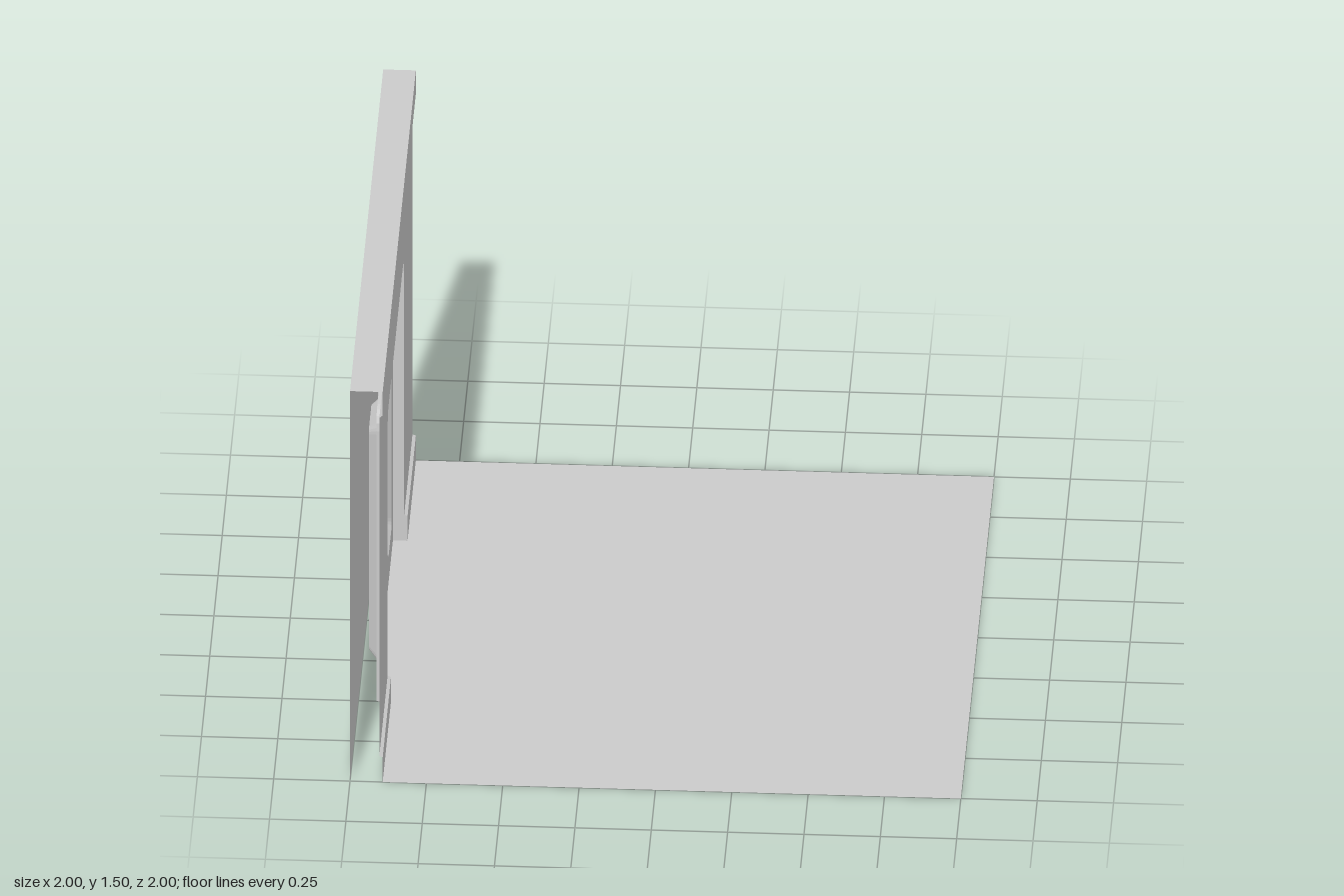
import * as THREE from 'three';

const material = new THREE.MeshStandardMaterial({ color: 0xcccccc, side: THREE.DoubleSide, flatShading: true });

// x of each layer of the wall, from back to front
const BACK = -1, PANEL = -0.971, DOOR = -0.941, WALL = -0.904, TRIM = -0.893;

const V = (x, y) => new THREE.Vector2(x, y);

// Replaces each corner [x, y, radius] with a short curve
function roundCorners(corners, steps = 4) {
  const n = corners.length, out = [];
  corners.forEach(([x, y, r], i) => {
    const p = V(x, y);
    if (!r) return out.push(p);
    const toward = ([a, b]) => V(a, b).sub(p).setLength(r).add(p);
    const start = toward(corners[(i + n - 1) % n]), end = toward(corners[(i + 1) % n]);
    out.push(...new THREE.QuadraticBezierCurve(start, p, end).getPoints(steps));
  });
  return out;
}

// Strip of quads between two rows of 3D points
function loft(rowA, rowB, closed = false) {
  const pos = [], n = rowA.length;
  for (let i = 0; i < (closed ? n : n - 1); i++) {
    const j = (i + 1) % n;
    for (const p of [rowA[i], rowA[j], rowB[j], rowA[i], rowB[j], rowB[i]]) pos.push(...p);
  }
  const g = new THREE.BufferGeometry();
  g.setAttribute('position', new THREE.Float32BufferAttribute(pos, 3));
  g.computeVertexNormals();
  return g;
}

// Flat sheet facing +x, drawn as (-z, y)
function sheet(points, x, holes = []) {
  const shape = new THREE.Shape(points);
  shape.holes = holes.map((h) => new THREE.Path(h));
  return new THREE.ShapeGeometry(shape).rotateY(Math.PI / 2).translate(x, 0, 0);
}

// Places an outline (-z, y) at depth x
const at = (points, x) => points.map((p) => [x, p.y, -p.x]);

// Runs a profile (x, y) along z
const run = (profile, z0, z1) =>
  loft(profile.map(([x, y]) => [x, y, z0]), profile.map(([x, y]) => [x, y, z1]));

export function createModel() {
  const group = new THREE.Group();
  const add = (name, geometry) => {
    const mesh = new THREE.Mesh(geometry, material);
    mesh.name = name;
    group.add(mesh);
  };

  // Floor, reaching into the doorway
  const floor = new THREE.Shape([
    V(TRIM, -1), V(1, -1), V(1, 1), V(TRIM, 1),
    V(TRIM, 0.5), V(DOOR, 0.5), V(DOOR, -0.5), V(TRIM, -0.5),
  ]);
  add('floor', new THREE.ShapeGeometry(floor).rotateX(-Math.PI / 2));

  // Outer face of the wall
  add('wallBack', new THREE.PlaneGeometry(2, 1.5).rotateY(-Math.PI / 2).translate(BACK, 0.75, 0));

  // Top cap and cornice
  add('cornice', run([[BACK, 1.5], [TRIM, 1.5], [TRIM, 1.41], [WALL, 1.4]], 1, -1));

  // Inner face of the wall around the doorway
  const arch = roundCorners([[0.5, 0, 0], [0.5, 1.103, 0.065], [-0.5, 1.103, 0.065], [-0.5, 0, 0]]);
  add('wallFront', sheet([
    V(1, 0.1), V(1, 1.4), V(-1, 1.4), V(-1, 0.1), V(-0.5, 0.1),
    ...arch.slice(1, -1).reverse(), V(0.5, 0.1),
  ], WALL));

  // Baseboards on both sides of the doorway, with end caps
  const board = [[WALL, 0.1], [TRIM, 0.095], [TRIM, 0]];
  const endCap = new THREE.Shape([V(WALL, 0), ...board.map(([x, y]) => V(x, y)).reverse()]);
  for (const [name, z0, z1, end] of [['Left', 1, 0.5, 0.5], ['Right', -0.5, -1, -0.5]]) {
    add('baseboard' + name, run(board, z0, z1));
    const cap = new THREE.ShapeGeometry(endCap);
    if (end > 0) cap.scale(1, 1, -1);
    add('baseboardEnd' + name, cap.translate(0, 0, end));
  }

  // Doorway reveal
  add('doorFrame', loft(at(arch, WALL), at(arch, DOOR)));

  // Two sunken door panels with bevelled rims
  const rim = roundCorners([
    [0.235, 0.1, 0.015], [0.428, 0.1, 0.03], [0.428, 1.01, 0.03],
    [0.235, 1.01, 0.015], [0.112, 0.918, 0.025], [0.112, 0.192, 0.025],
  ]);
  const inset = roundCorners([
    [0.244, 0.128, 0.01], [0.398, 0.128, 0.02], [0.398, 0.982, 0.02],
    [0.244, 0.982, 0.01], [0.14, 0.904, 0.018], [0.14, 0.206, 0.018],
  ]);
  const mirror = (points) => points.map((p) => V(-p.x, p.y)).reverse();
  const holes = [];
  for (const [name, side] of [['Right', (p) => p], ['Left', mirror]]) {
    const outer = side(rim), inner = side(inset);
    holes.push(outer);
    add('panelRim' + name, loft(at(outer, DOOR), at(inner, PANEL), true));
    add('panel' + name, sheet(inner, PANEL));
  }
  add('door', sheet(arch, DOOR, holes));

  return group;
}
